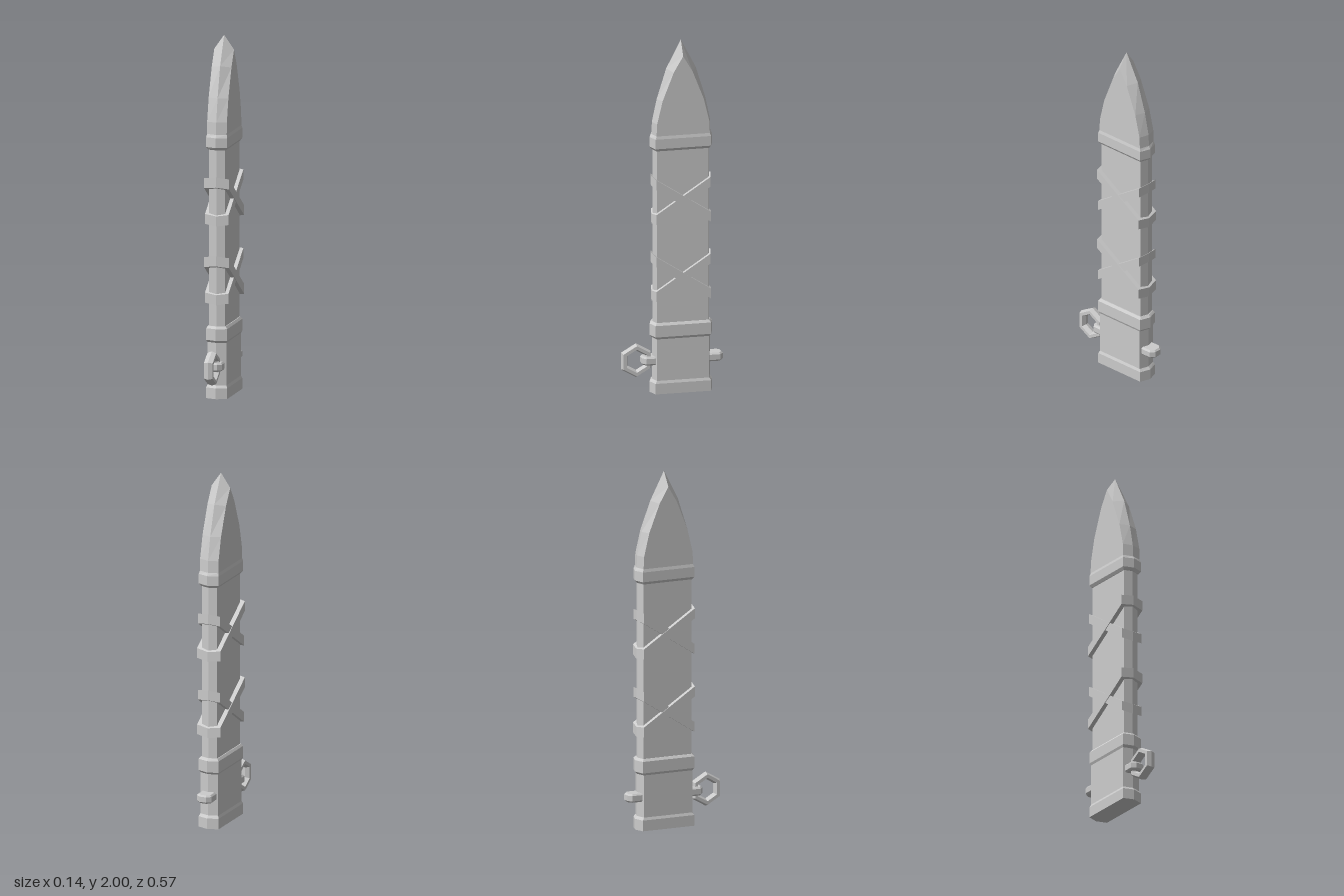
import * as THREE from 'three';

const MID_Z = -0.053;
const mat = new THREE.MeshStandardMaterial({ color: 0xcccccc, flatShading: true });

// Lofts ridged six-sided sections. Each section is
// [height, half width, corner half depth, ridge half depth, ridge height]
function loft(sections, slope = 0) {
  const pos = [], index = [], n = sections.length;
  for (const [y, w, c, r, ridgeY = y] of sections) {
    const ring = [[w, y, c], [0, ridgeY, r], [-w, y, c], [-w, y, -c], [0, ridgeY, -r], [w, y, -c]];
    for (const [px, py, pz] of ring) pos.push(px, py + slope * pz, pz);
  }
  for (let s = 0; s < n - 1; s++) {
    for (let i = 0; i < 6; i++) {
      const a = s * 6 + i, b = s * 6 + (i + 1) % 6;
      index.push(a, a + 6, b, b, a + 6, b + 6);
    }
  }
  const top = (n - 1) * 6;
  for (let i = 1; i < 5; i++) {
    index.push(0, i, i + 1, top, top + i + 1, top + i);
  }
  const g = new THREE.BufferGeometry();
  g.setAttribute('position', new THREE.Float32BufferAttribute(pos, 3));
  g.setIndex(index);
  const flat = g.toNonIndexed();
  flat.computeVertexNormals();
  return flat;
}

export function createModel() {
  const group = new THREE.Group();
  const add = (name, geometry, x = 0, y = 0, z = MID_Z) => {
    const mesh = new THREE.Mesh(geometry, mat);
    mesh.name = name;
    mesh.position.set(x, y, z);
    group.add(mesh);
  };

  // Long middle of the sheath
  add('sheathBody', loft([[0.3, 0.046, 0.146, 0.159], [1.42, 0.046, 0.146, 0.159]]));

  // Lower sleeve with a raised band at each end
  add('lowerSleeve', loft([
    [0, 0.06, 0.156, 0.176], [0.06, 0.06, 0.156, 0.176],
    [0.075, 0.054, 0.147, 0.163], [0.312, 0.054, 0.147, 0.163],
    [0.325, 0.06, 0.156, 0.176], [0.39, 0.06, 0.156, 0.176],
    [0.403, 0.05, 0.148, 0.163],
  ]));

  // Pointed cap with a raised band at its base
  add('pointedCap', loft([
    [1.385, 0.05, 0.148, 0.163],
    [1.4, 0.06, 0.156, 0.176], [1.455, 0.06, 0.156, 0.176],
    [1.472, 0.056, 0.15, 0.166], [1.54, 0.056, 0.147, 0.163],
    [1.67, 0.056, 0.116, 0.136], [1.83, 0.056, 0.053, 0.083, 1.84],
    [1.92, 0.056, 0, 0, 2],
  ]));

  // Two pairs of crossed straps wound around the body
  for (const y of [0.658, 1.097]) {
    for (const [side, w] of [[1, 0.071], [-1, 0.067]]) {
      const d = (w - 0.067) / 2;
      add('crossedStrap', loft([
        [-0.028, w, 0.152 + d, 0.166 + d], [0.028, w, 0.152 + d, 0.166 + d],
      ], side * 0.65), 0, y);
    }
  }

  // Bevelled lug passing through the lower sleeve
  const L = 0.228, W = 0.044;
  const outline = new THREE.Shape([
    [W, -L + 0.02], [W, L - 0.02], [0.02, L], [-0.02, L],
    [-W, L - 0.02], [-W, -L + 0.02], [-0.02, -L], [0.02, -L],
  ].map(([x, y]) => new THREE.Vector2(x, y)));
  const lug = new THREE.ExtrudeGeometry(outline, {
    depth: 0.03, bevelEnabled: true, bevelSize: 0.008, bevelThickness: 0.009,
    bevelOffset: -0.008, bevelSegments: 1,
  });
  lug.rotateX(-Math.PI / 2);
  add('lug', lug, 0, 0.17, -0.057);

  // Six-sided hanging ring
  const profile = [
    [0.086, -0.025], [0.096, 0], [0.086, 0.025], [0.066, 0.025],
    [0.055, 0], [0.066, -0.025], [0.086, -0.025],
  ].map(([r, h]) => new THREE.Vector2(r, h));
  const ring = new THREE.LatheGeometry(profile, 6, Math.PI / 2);
  ring.rotateZ(Math.PI / 2);
  add('hangingRing', ring, 0, 0.186, 0.2);

  return group;
}
